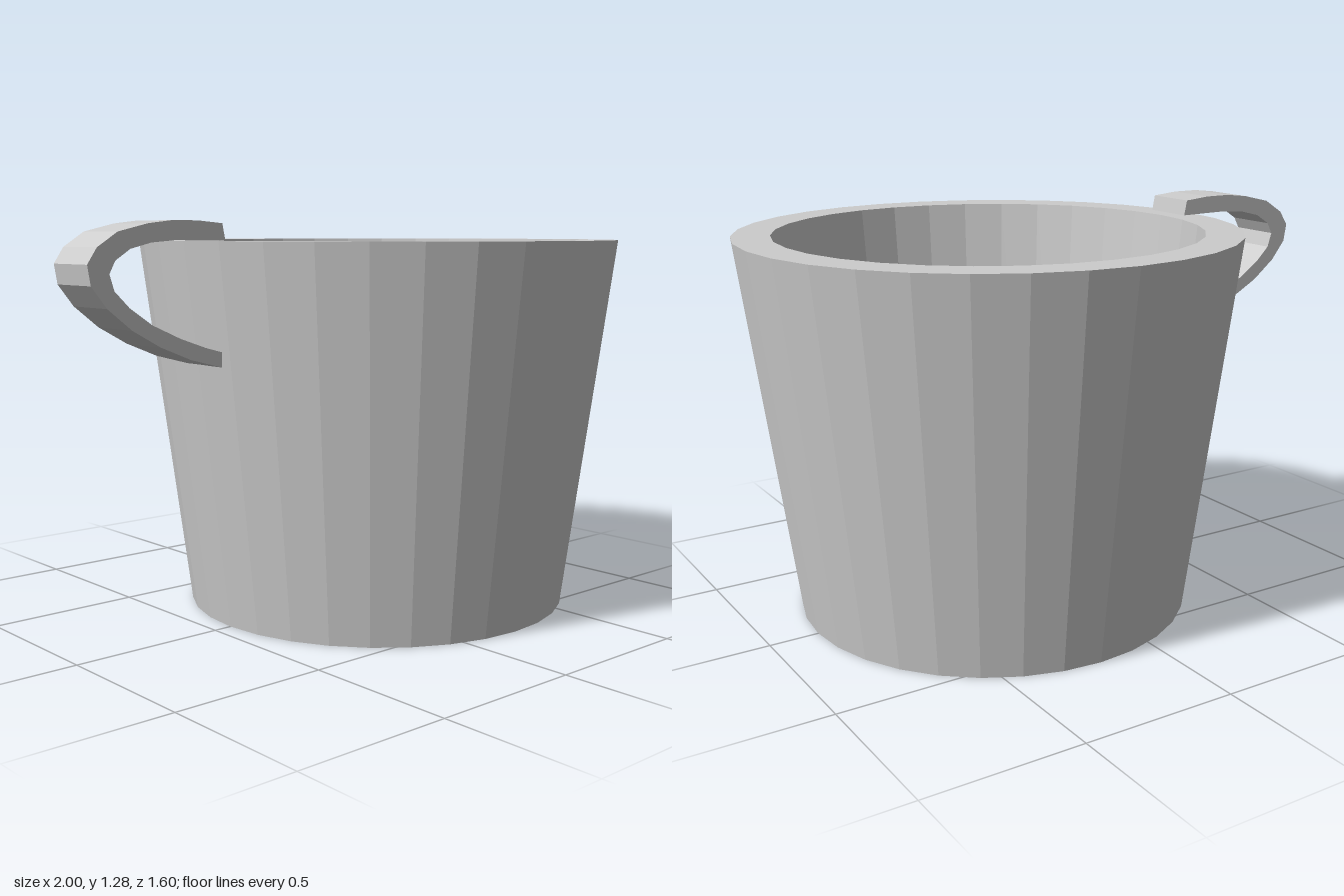
import * as THREE from 'three';

export function createModel() {
  const group = new THREE.Group();
  const grey = new THREE.MeshStandardMaterial({
    name: 'plain grey', color: 0xcccccc, flatShading: true, side: THREE.DoubleSide,
  });
  const CUP_X = 0.2, RIM_Y = 1.225;

  const add = (name, geometry, x = 0, z = 0) => {
    const mesh = new THREE.Mesh(geometry, grey);
    mesh.name = name;
    mesh.position.set(x, 0, z);
    group.add(mesh);
  };
  // Each cup surface is a band of 32 facets between two [radius, height] points
  const band = (...points) =>
    new THREE.LatheGeometry(points.map(([r, y]) => new THREE.Vector2(r, y)), 32);

  // Thin shells: the gap between the two walls is open underneath
  add('outerWall', band([0.64, 0], [0.8, RIM_Y]), CUP_X);
  add('rim', band([0.8, RIM_Y], [0.68, RIM_Y]), CUP_X);
  add('innerWall', band([0.68, RIM_Y], [0.56, 0]), CUP_X);
  add('floor', new THREE.CircleGeometry(0.56, 32).rotateX(-Math.PI / 2), CUP_X);

  // Handle: a flat strap, its outer curve followed by its inner curve
  const outer = [[-0.54, 1.277], [-0.63, 1.285], [-0.72, 1.285], [-0.8, 1.276], [-0.9, 1.253],
    [-0.968, 1.21], [-1, 1.163], [-0.99, 1.104], [-0.94, 1.04], [-0.86, 0.976],
    [-0.765, 0.923], [-0.66, 0.88], [-0.547, 0.85]];
  const inner = [[-0.53, 1.227], [-0.6, 1.228], [-0.7, 1.229], [-0.79, 1.222], [-0.86, 1.205],
    [-0.91, 1.173], [-0.93, 1.136], [-0.915, 1.088], [-0.867, 1.04], [-0.79, 0.987],
    [-0.695, 0.944], [-0.605, 0.912], [-0.547, 0.896]];
  const outline = [...outer, ...inner.reverse()].map(([x, y]) => new THREE.Vector2(x, y));
  add('handle', new THREE.ExtrudeGeometry(new THREE.Shape(outline), {
    depth: 0.18, bevelEnabled: false,
  }), 0, -0.063);

  return group;
}
